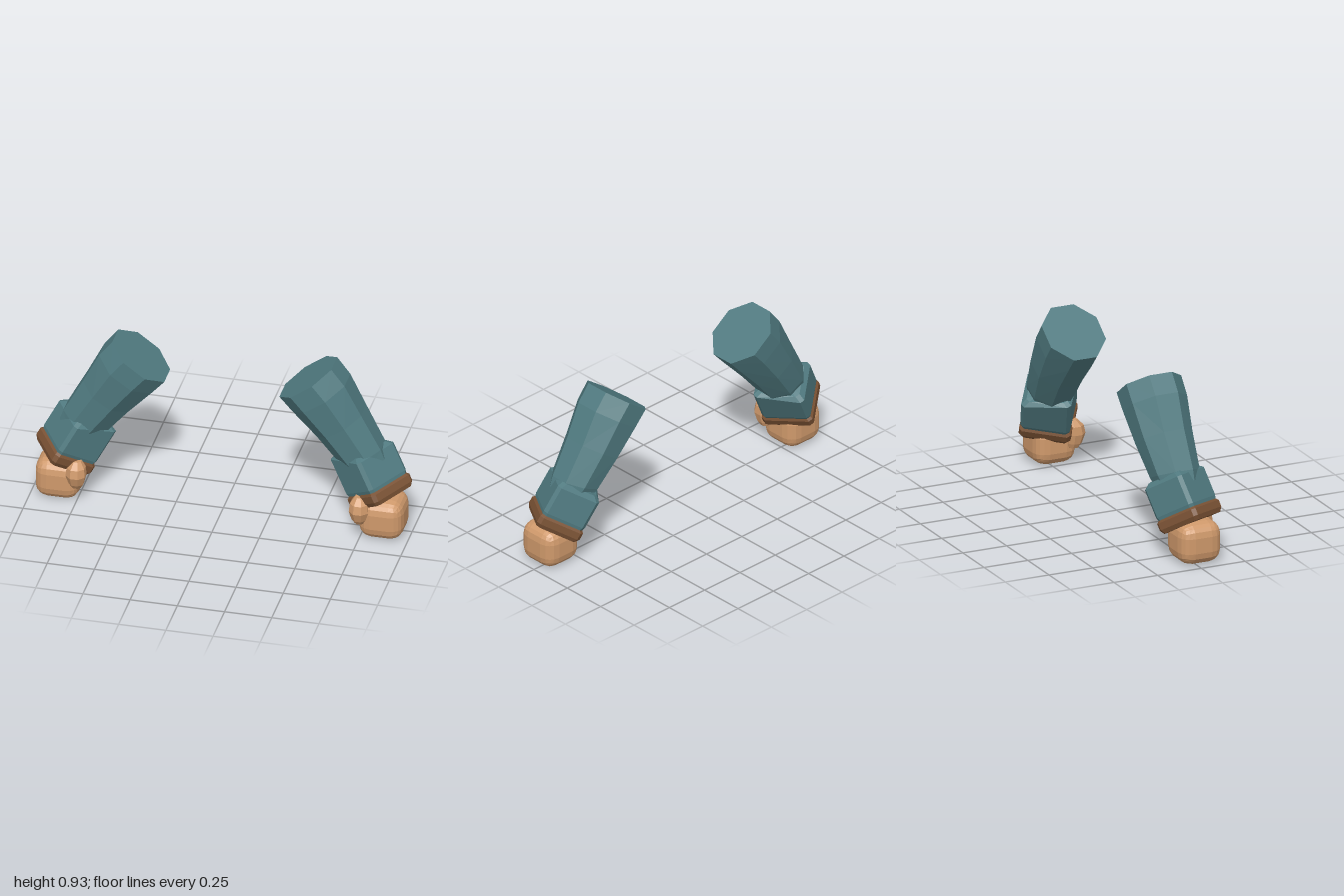
import * as THREE from 'three';
import { RoundedBoxGeometry } from 'three/addons/geometries/RoundedBoxGeometry.js';

const V = (x, y, z) => new THREE.Vector3(x, y, z);

// Closed faceted loft through rings of points; side = -1 mirrors it in x.
function loft(rings, side) {
  const n = rings[0].length, tris = [];
  const cap = (ring, flip) => {
    const mid = ring.reduce((s, p) => s.add(p), V(0, 0, 0)).divideScalar(n);
    ring.forEach((p, i) => {
      const q = ring[(i + 1) % n];
      tris.push(flip ? [mid, q, p] : [mid, p, q]);
    });
  };
  for (let r = 0; r < rings.length - 1; r++) {
    for (let i = 0; i < n; i++) {
      const j = (i + 1) % n, a = rings[r], b = rings[r + 1];
      tris.push([a[i], a[j], b[j]], [a[i], b[j], b[i]]);
    }
  }
  cap(rings[0], true);
  cap(rings[rings.length - 1], false);
  // Signed volume tells whether the faces point outwards
  const mirrored = tris.map(t => t.map(p => V(p.x * side, p.y, p.z)));
  const volume = mirrored.reduce((s, [a, b, c]) => s + a.dot(b.clone().cross(c)), 0);
  const pts = mirrored.flatMap(([a, b, c]) => (volume < 0 ? [a, c, b] : [a, b, c]));
  const geo = new THREE.BufferGeometry().setFromPoints(pts);
  geo.computeVertexNormals();
  return geo;
}

// Forearm frame: along the cuff (down and out) and its two cross directions
const along = V(0.467, -0.865, 0.193).normalize();
const across = V(0.5, 0.19, -0.85);
across.addScaledVector(along, -across.dot(along)).normalize();
const outward = along.clone().cross(across).normalize();
const cuffTop = V(0.737, 0.41, -0.027);

// Square ring with clipped corners, t along the cuff; lift raises the inner corner
function squareRing(t, scale, lift = 0) {
  const hu = 0.13 * scale, hw = 0.122 * scale, c = 0.018;
  const corners = [
    [-hu, hw - c], [-hu + c, hw], [hu - c, hw], [hu, hw - c],
    [hu, -hw + c], [hu - c, -hw], [-hu + c, -hw], [-hu, -hw + c],
  ];
  return corners.map(([u, w], i) => cuffTop.clone()
    .addScaledVector(across, u)
    .addScaledVector(outward, w)
    .addScaledVector(along, t - (i > 5 ? lift : 0)));
}

// Octagonal sleeve ring between an outer and an inner point seen from the front
function sleeveRing([ox, oy, ix, iy, zFront, zBack]) {
  const k = 1 / Math.cos(Math.PI / 8);
  return Array.from({ length: 8 }, (_, i) => {
    const a = (i + 0.5) * Math.PI / 4;
    const u = Math.cos(a) * k / 2, w = Math.sin(a) * k / 2;
    return V((ox + ix) / 2 + (ox - ix) * u, (oy + iy) / 2 + (oy - iy) * u,
      (zFront + zBack) / 2 + (zFront - zBack) * w);
  });
}

export function createModel() {
  const model = new THREE.Group();
  const paint = (name, color) => {
    const m = new THREE.MeshStandardMaterial({ color, flatShading: true });
    m.name = name;
    return m;
  };
  const teal = paint('teal cloth', 0x507a80);
  const brown = paint('brown leather', 0x7a5234);
  const skin = paint('skin', 0xcf996b);

  const sleeve = [
    [0.58, 0.934, 0.305, 0.733, 0.127, -0.187],
    [0.65, 0.845, 0.375, 0.655, 0.127, -0.184],
    [0.737, 0.674, 0.50, 0.52, 0.11, -0.168],
    [0.84, 0.485, 0.615, 0.385, 0.10, -0.14],
    [0.86, 0.43, 0.66, 0.33, 0.09, -0.12],
  ].map(sleeveRing);
  const cuff = [
    squareRing(-0.025, 0.82, 0.03), squareRing(0, 1, 0.045),
    squareRing(0.155, 1), squareRing(0.18, 0.95),
  ];
  const trim = [
    squareRing(0.172, 0.96), squareRing(0.185, 1.04),
    squareRing(0.222, 1.04), squareRing(0.245, 0.95),
  ];
  // Thumb: height, radius, forward shift
  const thumb = [
    [0.09, 0.028, 0.115], [0.115, 0.042, 0.12], [0.165, 0.055, 0.125],
    [0.21, 0.05, 0.12], [0.243, 0.026, 0.11],
  ].map(([y, r, z]) => Array.from({ length: 8 }, (_, i) => {
    const a = (i + 0.5) * Math.PI / 4;
    return V(0.75 + r * Math.cos(a), y, z + r * Math.sin(a));
  }));

  for (const [label, side] of [['left', 1], ['right', -1]]) {
    const arm = new THREE.Group();
    arm.name = label + 'Arm';
    const add = (name, geo, mat) => {
      const mesh = new THREE.Mesh(geo, mat);
      mesh.name = name;
      arm.add(mesh);
      return mesh;
    };
    add('sleeve', loft(sleeve, side), teal);
    add('cuff', loft(cuff, side), teal);
    add('cuffTrim', loft(trim, side), brown);
    add('thumb', loft(thumb, side), skin);
    // Fist as a chunky rounded block
    add('fist', new RoundedBoxGeometry(0.235, 0.222, 0.235, 2, 0.07), skin)
      .position.set(0.857 * side, 0.111, 0.028);
    model.add(arm);
  }
  return model;
}
